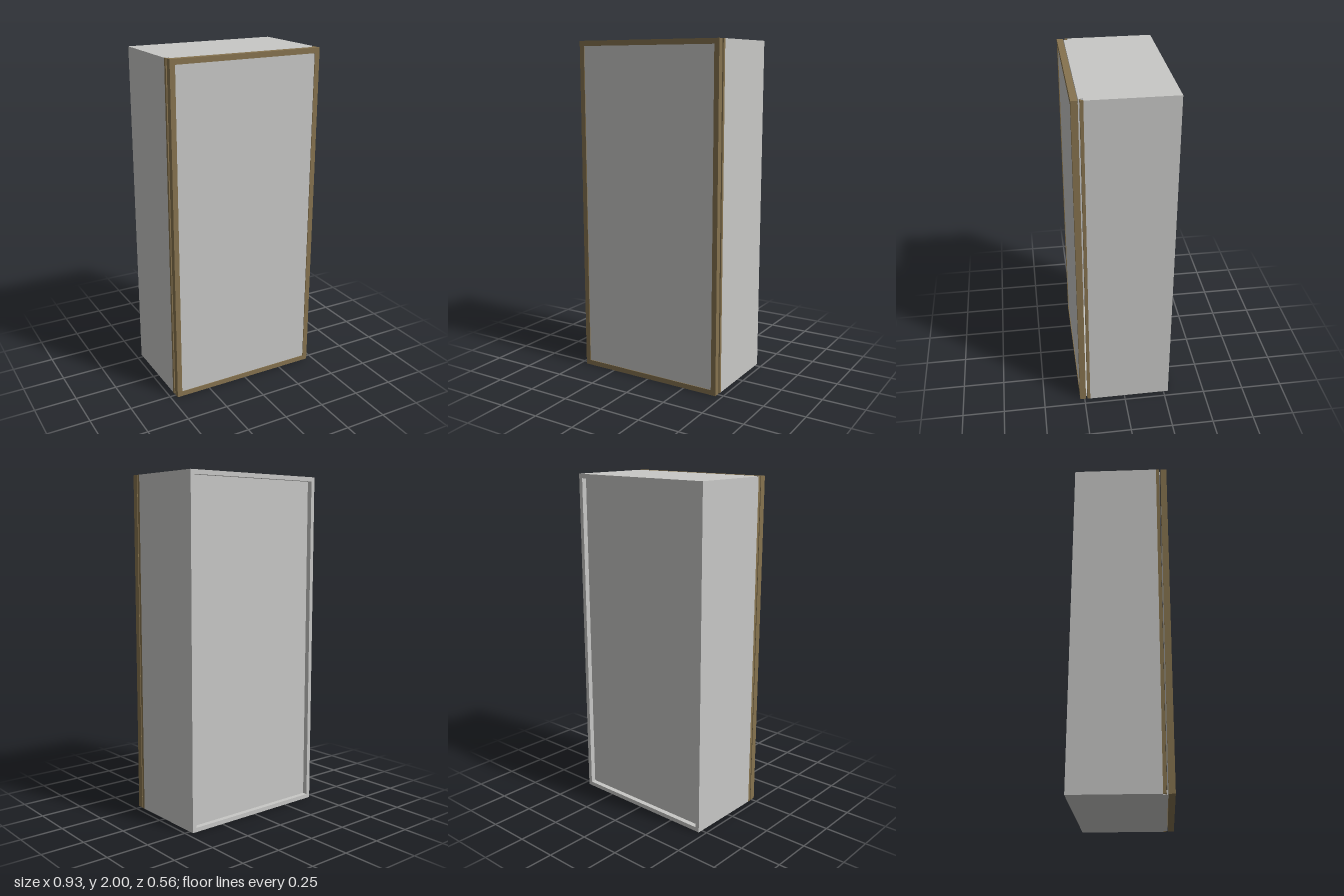
import * as THREE from 'three';

export function createModel() {
  const grey = new THREE.MeshStandardMaterial({ color: 0xc8c8c6 });
  grey.name = 'light grey board';
  const brown = new THREE.MeshStandardMaterial({ color: 0x86734f });
  brown.name = 'bronze trim';

  const W = 0.464, T = 0.025, H = 2;
  const BACK = -0.278, SIDE_FRONT = 0.215, FRONT = 0.239;
  const model = new THREE.Group();
  model.name = 'cabinet';

  const add = (name, geometry, material) => {
    const mesh = new THREE.Mesh(geometry, material);
    mesh.name = name;
    model.add(mesh);
    return mesh;
  };
  // Box given by its minimum and maximum corners
  const board = (name, material, [x0, y0, z0], [x1, y1, z1]) =>
    add(name, new THREE.BoxGeometry(x1 - x0, y1 - y0, z1 - z0), material)
      .position.set((x0 + x1) / 2, (y0 + y1) / 2, (z0 + z1) / 2);
  // Upright prism from an outline of [x, z] points
  const prism = (name, material, outline, y, height) => {
    const shape = new THREE.Shape(outline.map(([x, z]) => new THREE.Vector2(x, -z)));
    const geometry = new THREE.ExtrudeGeometry(shape, { depth: height, bevelEnabled: false });
    geometry.rotateX(-Math.PI / 2);
    add(name, geometry, material).position.y = y;
  };

  // Carcass: the left side runs full height, the other boards butt against it
  board('leftSide', grey, [W - T, 0, BACK], [W, H, SIDE_FRONT]);
  board('rightSide', grey, [-W, T, BACK], [-W + T, H - T, SIDE_FRONT]);
  const deck = [
    [-W, BACK], [W - T, BACK], [W - T, FRONT],
    [-W + T - 0.002, FRONT], [-W + T - 0.002, SIDE_FRONT], [-W, SIDE_FRONT],
  ];
  prism('bottomBoard', grey, deck, 0, T);
  prism('topBoard', grey, deck, H - T, T);

  // Recessed back
  board('backPanel', grey, [-W + T, T, -0.248], [W - T, H - T, -0.23]);

  // Angle-shaped grip strips in the front corner notches
  for (const [name, s] of [['leftGripStrip', 1], ['rightGripStrip', -1]]) {
    prism(name, brown, [
      [s * W, SIDE_FRONT], [s * W, 0.233], [s * 0.445, 0.233],
      [s * 0.445, 0.227], [s * 0.457, 0.227], [s * 0.457, SIDE_FRONT],
    ], 0, H);
  }

  // Door: bronze frame around a slightly recessed panel
  const D = 0.462, F = 0.03;
  const rectangle = (path, x, y0, y1) =>
    path.moveTo(-x, y0).lineTo(x, y0).lineTo(x, y1).lineTo(-x, y1).closePath();
  const frame = rectangle(new THREE.Shape(), D, 0, H);
  frame.holes.push(rectangle(new THREE.Path(), D - F, F, H - F));
  add('doorFrame', new THREE.ExtrudeGeometry(frame, { depth: 0.036, bevelEnabled: false }), brown)
    .position.z = 0.242;
  board('doorPanel', grey, [-D + F, F, 0.245], [D - F, H - F, 0.274]);

  return model;
}
